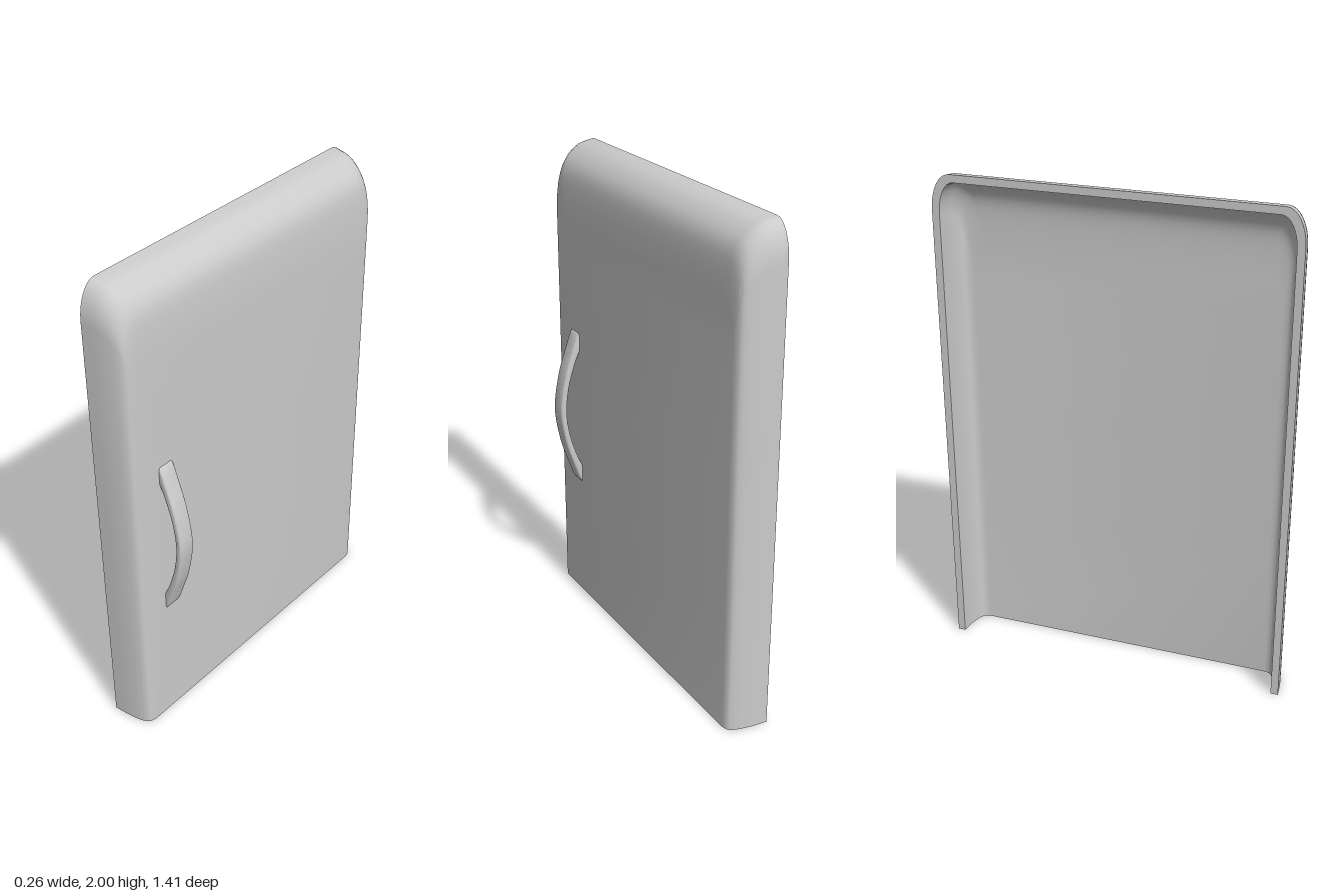
import * as THREE from 'three';
import { toCreasedNormals } from 'three/addons/utils/BufferGeometryUtils.js';

const BACK = -0.13, FACE = 0.036, WALL = 0.03;
const CORNER_STEPS = 8;

// Arch outline at depth x: up the +z side, over the rounded corners, down the -z side
function arch(x, halfWidth, height, rz, ry) {
  const half = [];
  for (let i = 0; i <= 3; i++) half.push([halfWidth, (height - ry) * i / 3]);
  for (let i = 1; i <= CORNER_STEPS; i++) {
    const a = i / CORNER_STEPS * Math.PI / 2;
    half.push([halfWidth - rz * (1 - Math.cos(a)), height - ry * (1 - Math.sin(a))]);
  }
  const left = half.map(([z, y]) => new THREE.Vector3(x, y, z));
  const right = half.map(([z, y]) => new THREE.Vector3(x, y, -z)).reverse();
  return [...left, ...right];
}

// Hollow door shell, open at the back and underneath
function doorGeometry() {
  // Edge profile from back rim to front face: depth, half width, height
  const profile = new THREE.CatmullRomCurve3([
    [BACK, 0.705, 2.0], [-0.06, 0.698, 1.987], [-0.005, 0.686, 1.945],
    [0.02, 0.675, 1.9], [0.031, 0.661, 1.83], [FACE, 0.64, 1.72],
  ].map((p) => new THREE.Vector3(...p))).getPoints(15);
  const squeeze = (FACE - WALL - BACK) / (FACE - BACK);
  const outer = profile.map((p) => arch(p.x, p.y, p.z, 0.075, 0.14));
  const inner = profile.map((p) =>
    arch(BACK + (p.x - BACK) * squeeze, p.y - WALL, p.z - WALL, 0.06, 0.12));

  const pos = [];
  const quad = (a, b, c, d) => {
    for (const v of [a, b, c, a, c, d]) pos.push(v.x, v.y, v.z);
  };
  const n = outer[0].length, last = outer.length - 1;
  const strip = (r, s, count) => {
    for (let i = 0; i < count; i++) quad(r[i], s[i], s[i + 1], r[i + 1]);
  };

  // Inner wall, rim and outer wall
  const rings = [...inner.slice().reverse(), ...outer];
  for (let k = 0; k < rings.length - 1; k++) strip(rings[k], rings[k + 1], n - 1);

  // Flat front panel and its inside
  const mirrored = (r) => r.slice().reverse();
  strip(outer[last], mirrored(outer[last]), n / 2 - 1);
  strip(mirrored(inner[last]), inner[last], n / 2 - 1);

  // Bottom edge of the wall
  for (let k = 0; k < last; k++) {
    quad(outer[k][0], inner[k][0], inner[k + 1][0], outer[k + 1][0]);
    quad(outer[k + 1][n - 1], inner[k + 1][n - 1], inner[k][n - 1], outer[k][n - 1]);
  }
  quad(outer[last][0], inner[last][0], inner[last][n - 1], outer[last][n - 1]);

  const geometry = new THREE.BufferGeometry();
  geometry.setAttribute('position', new THREE.Float32BufferAttribute(pos, 3));
  return toCreasedNormals(geometry, 0.7);
}

// Bowed grip: side outline extruded across its width with softened edges
function handleGeometry() {
  const mid = 0.9;
  const bow = (points) => {
    const upper = points.map(([x, y]) => new THREE.Vector2(x, mid + y));
    const lower = points.slice(0, -1).reverse().map(([x, y]) => new THREE.Vector2(x, mid - y));
    return new THREE.SplineCurve([...upper, ...lower]).getPoints(40);
  };
  const outside = bow([[0.018, 0.352], [0.042, 0.335], [0.07, 0.26], [0.105, 0.15], [0.127, 0]]);
  const inside = bow([[0.018, 0.29], [0.04, 0.25], [0.062, 0.195], [0.088, 0.105], [0.1, 0]]);
  const shape = new THREE.Shape([...outside, ...inside.reverse()]);
  const bevel = 0.008, width = 0.07;
  const geometry = new THREE.ExtrudeGeometry(shape, {
    depth: width - 2 * bevel, bevelEnabled: true, bevelSize: bevel,
    bevelOffset: -bevel, bevelThickness: bevel, bevelSegments: 3,
  });
  geometry.translate(0, 0, 0.515 - width / 2 + bevel);
  return toCreasedNormals(geometry, 0.7);
}

export function createModel() {
  const group = new THREE.Group();
  group.name = 'door';
  const grey = new THREE.MeshStandardMaterial({ color: 0xcccccc });
  const add = (name, geometry) => {
    const mesh = new THREE.Mesh(geometry, grey);
    mesh.name = name;
    group.add(mesh);
  };
  add('doorPanel', doorGeometry());
  add('handle', handleGeometry());
  return group;
}
